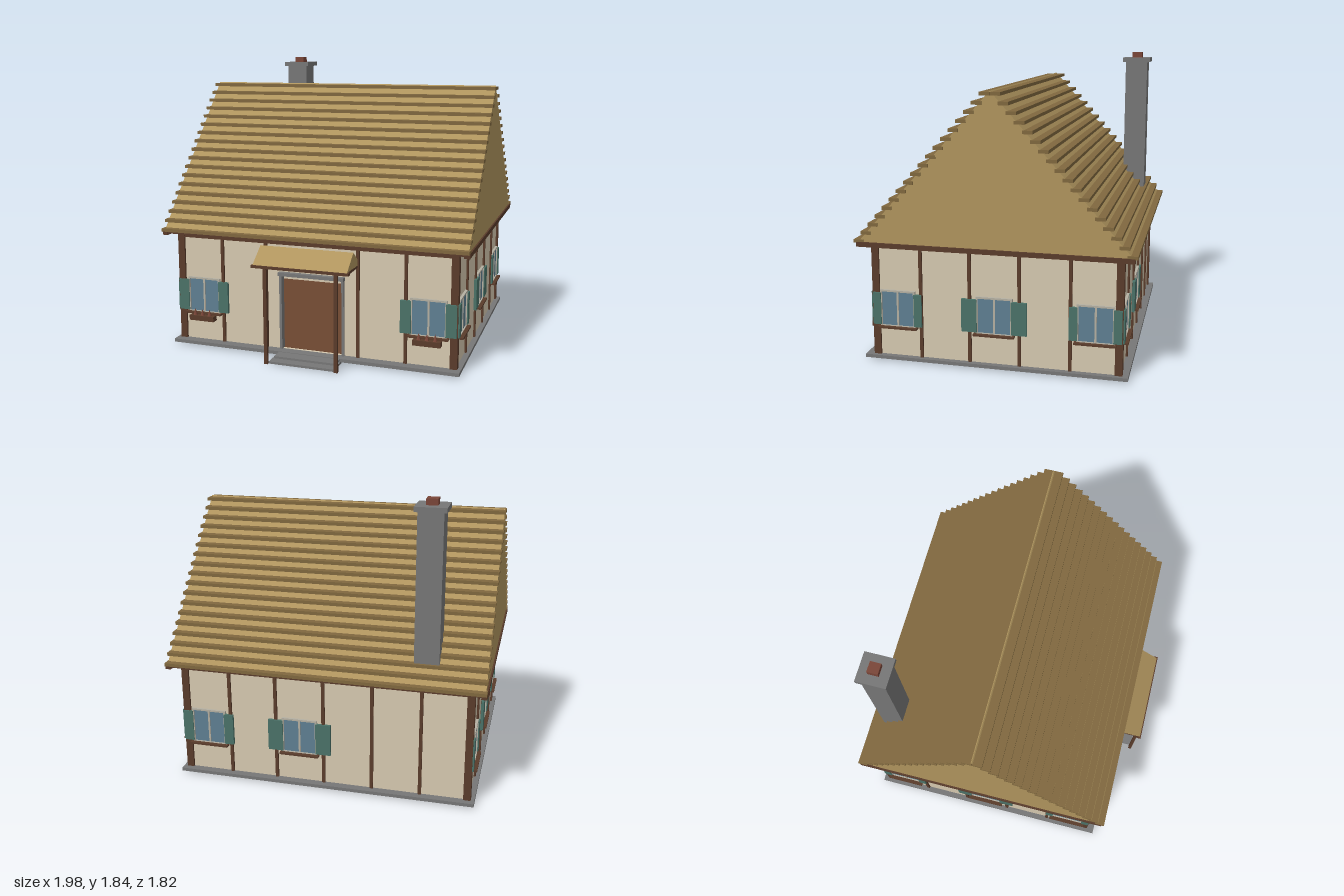
import * as THREE from 'three';

const mat = (color) => new THREE.MeshStandardMaterial({ color, flatShading: true });
const M = {
  plaster: mat(0xd6c9b0), wood: mat(0x5a3c2b), thatch: mat(0xb0955e), batten: mat(0x80683f),
  stone: mat(0x777777), trim: mat(0xb5b0a2), glass: mat(0x5f7f92), shutter: mat(0x4b7268),
  brick: mat(0x7a4638), floor: mat(0x6b452f),
};

function add(parent, name, geometry, material, x = 0, y = 0, z = 0) {
  const mesh = new THREE.Mesh(geometry, material);
  mesh.name = name;
  mesh.position.set(x, y, z);
  parent.add(mesh);
  return mesh;
}

// Box given by its minimum and maximum on each axis
function box(parent, name, material, [x0, x1], [y0, y1], [z0, z1]) {
  return add(parent, name, new THREE.BoxGeometry(x1 - x0, y1 - y0, z1 - z0), material,
    (x0 + x1) / 2, (y0 + y1) / 2, (z0 + z1) / 2);
}

function group(parent, name) {
  const g = new THREE.Group();
  g.name = name;
  parent.add(g);
  return g;
}

// Prism along x from a (z, y) outline
function prism(parent, name, material, points, halfLength) {
  const shape = new THREE.Shape(points.map(([z, y]) => new THREE.Vector2(-z, y)));
  const geo = new THREE.ExtrudeGeometry(shape, { depth: halfLength * 2, bevelEnabled: false });
  geo.translate(0, 0, -halfLength).rotateY(Math.PI / 2);
  return add(parent, name, geo, material);
}

function rectPath(x0, x1, y0, y1, Type = THREE.Path) {
  return new Type([[x0, y0], [x1, y0], [x1, y1], [x0, y1]].map((p) => new THREE.Vector2(...p)));
}

// Window with frame, mullion, sill and shutters; the wall face is z = 0
function addWindow(parent, x, reach, flowers) {
  const w = group(parent, 'window');
  w.position.x = x;
  box(w, 'windowGlass', M.glass, [-0.1, 0.1], [0.225, 0.437], [-0.012, 0.008]);
  const frame = rectPath(-0.112, 0.112, 0.215, 0.448, THREE.Shape);
  frame.holes.push(rectPath(-0.1, 0.1, 0.225, 0.437));
  add(w, 'windowFrame', new THREE.ExtrudeGeometry(frame, { depth: 0.016, bevelEnabled: false }), M.trim);
  box(w, 'mullion', M.trim, [-0.006, 0.006], [0.225, 0.437], [0, 0.013]);
  box(w, 'windowSill', M.wood, [-0.125, 0.125], [0.21, 0.221], [0, 0.04]);
  for (const s of [-1, 1]) {
    const edges = [s * 0.105, s * reach].sort((a, b) => a - b);
    box(w, 'shutter', M.shutter, edges, [0.228, 0.43], [0.004, 0.022]);
  }
  if (!flowers) return;
  box(w, 'flowerBox', M.wood, [-0.085, 0.085], [0.173, 0.206], [0.015, 0.062]);
  for (const fx of [-0.05, 0, 0.05]) {
    add(w, 'flower', new THREE.ConeGeometry(0.014, 0.045, 6), M.brick, fx, 0.226, 0.045);
  }
}

// One timbered wall, facing +z before it is turned
function addFacade(house, name, width, distance, angle, posts, windows, door) {
  const f = group(house, name);
  f.rotation.y = angle;
  f.position.set(Math.sin(angle) * distance, 0, Math.cos(angle) * distance);
  const wall = rectPath(-width / 2, width / 2, 0.03, 0.72, THREE.Shape);
  for (const [x] of windows) wall.holes.push(rectPath(x - 0.1, x + 0.1, 0.225, 0.437));
  if (door) wall.holes.push(rectPath(-0.2, 0.2, 0.034, 0.515));
  const geo = new THREE.ExtrudeGeometry(wall, { depth: 0.02, bevelEnabled: false });
  add(f, 'wallPanel', geo, M.plaster, 0, 0, -0.02);
  for (const x of posts) box(f, 'timber', M.wood, [x - 0.01, x + 0.01], [0.03, 0.715], [-0.005, 0.012]);
  box(f, 'wallPlate', M.wood, [-width / 2, width / 2], [0.708, 0.738], [-0.02, 0.013]);
  for (const [x, reach, flowers] of windows) addWindow(f, x, reach, flowers);
  return f;
}

function addRoof(house) {
  const roof = group(house, 'roof');
  prism(roof, 'roofBody', M.thatch, [[0.82, 0.755], [0, 1.668], [-0.82, 0.755]], 0.98);
  box(roof, 'soffit', M.wood, [-0.975, 0.975], [0.738, 0.757], [-0.825, 0.825]);
  for (const s of [-1, 1]) {
    box(roof, 'gableBeam', M.wood, s > 0 ? [0.955, 0.99] : [-0.99, -0.955], [0.728, 0.757], [-0.83, 0.83]);
    // Stepped battens up each slope
    for (let i = 0; i < 18; i++) {
      const outer = 0.845 - i * 0.0461, y = 0.762 + i * 0.0523;
      add(roof, 'roofBatten', new THREE.BoxGeometry(1.976, 0.02, 0.06), M.batten, 0, y, s * (outer - 0.03));
    }
  }
}

function addChimney(house) {
  const c = group(house, 'chimney');
  c.position.set(-0.623, 0, -0.66);
  box(c, 'chimneyStack', M.stone, [-0.075, 0.075], [0.8, 1.775], [-0.075, 0.075]);
  box(c, 'chimneyCap', M.stone, [-0.094, 0.094], [1.772, 1.802], [-0.094, 0.094]);
  box(c, 'chimneyPot', M.brick, [-0.034, 0.034], [1.8, 1.84], [-0.034, 0.034]);
}

function addPorch(model) {
  const p = group(model, 'porch');
  box(p, 'lowerStep', M.stone, [-0.21, 0.21], [0.003, 0.017], [0.66, 0.89]);
  box(p, 'upperStep', M.stone, [-0.2, 0.2], [0.017, 0.03], [0.66, 0.83]);
  prism(p, 'porchRoof', M.thatch, [[0.905, 0.617], [0.782, 0.715], [0.69, 0.645], [0.69, 0.617]], 0.3);
  box(p, 'porchBeam', M.wood, [-0.31, 0.31], [0.603, 0.62], [0.88, 0.908]);
  for (const s of [-1, 1]) {
    box(p, 'porchPost', M.wood, [s * 0.226 - 0.011, s * 0.226 + 0.011], [0, 0.605], [0.877, 0.897]);
    box(p, 'porchSideBeam', M.wood, [s * 0.29 - 0.01, s * 0.29 + 0.01], [0.603, 0.62], [0.69, 0.89]);
    // Door surround
    box(p, 'doorJamb', M.stone, [s * 0.205 - 0.008, s * 0.205 + 0.008], [0.03, 0.515], [0.665, 0.705]);
  }
  box(p, 'doorLintel', M.stone, [-0.215, 0.215], [0.512, 0.533], [0.665, 0.722]);
}

export function createModel() {
  const model = new THREE.Group();
  model.name = 'cottage';
  const house = group(model, 'house');
  house.position.z = -0.063;

  box(house, 'foundation', M.stone, [-0.94, 0.94], [0.012, 0.033], [-0.8, 0.815]);
  box(house, 'floor', M.floor, [-0.89, 0.89], [0.03, 0.036], [-0.735, 0.735]);

  addFacade(house, 'frontWall', 1.81, 0.752, 0, [-0.605, -0.305, 0.3, 0.6],
    [[-0.74, 0.172, true], [0.74, 0.172, true]], true);
  addFacade(house, 'backWall', 1.81, 0.752, Math.PI, [-0.605, -0.305, 0, 0.305, 0.605],
    [[-0.75, 0.165], [-0.152, 0.2]]);
  for (const s of [-1, 1]) {
    addFacade(house, 'sideWall', 1.5, 0.905, s * Math.PI / 2, [-0.457, -0.152, 0.152, 0.457],
      [[-0.605, 0.155], [0, 0.2], [0.605, 0.155]]);
    for (const t of [-1, 1]) {
      add(house, 'cornerPost', new THREE.BoxGeometry(0.045, 0.69, 0.045), M.wood, s * 0.895, 0.378, t * 0.743);
    }
  }
  addRoof(house);
  addChimney(house);
  addPorch(model);
  return model;
}
